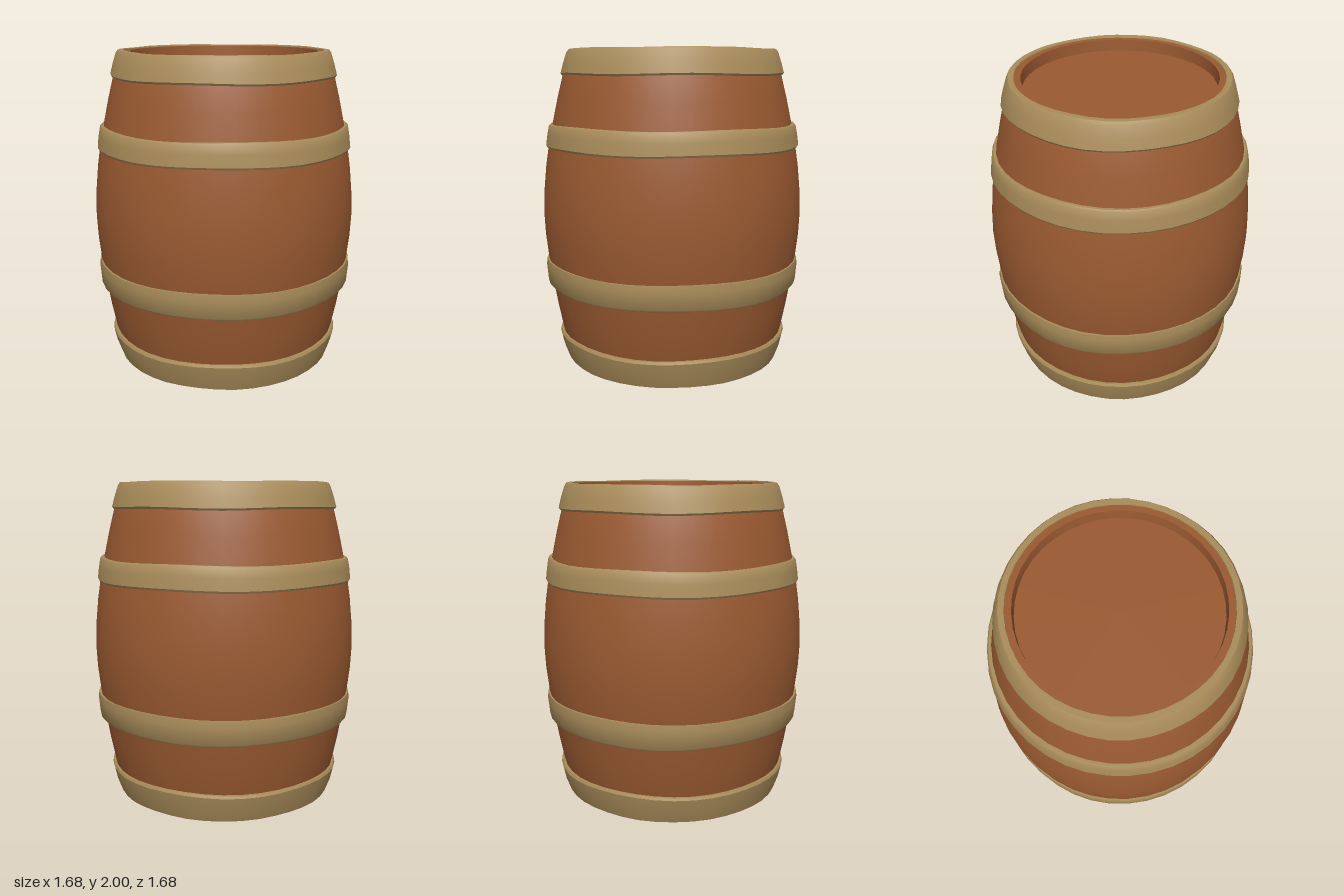
import * as THREE from 'three';
import { toCreasedNormals } from 'three/addons/utils/BufferGeometryUtils.js';

const SEGMENTS = 40;

// Lathe a closed profile of [radius, height], then roughen it slightly by hand-hewn waves.
function turned(profile, wobble = 0, seed = 0, drop = 0) {
  const geo = new THREE.LatheGeometry(profile.map(([r, y]) => new THREE.Vector2(r, y)), SEGMENTS);
  const pos = geo.attributes.position;
  for (let i = 0; i < pos.count; i++) {
    const x = pos.getX(i), y = pos.getY(i), z = pos.getZ(i);
    const a = Math.atan2(z, x);
    const wave = Math.sin(3 * a + seed) + 0.6 * Math.sin(7 * a + seed * 2.3 + y * 9);
    const k = 1 + wobble * wave;
    const shift = drop * Math.sin(5 * a + seed * 1.7 + y * 5);
    pos.setXYZ(i, x * k, THREE.MathUtils.clamp(y + shift, 0, 2), z * k);
  }
  return toCreasedNormals(geo, 0.6);
}

export function createModel() {
  const barrel = new THREE.Group();
  barrel.name = 'barrel';
  const wood = new THREE.MeshStandardMaterial({ name: 'brown wood', color: 0x9a5a31 });
  const brass = new THREE.MeshStandardMaterial({ name: 'dull brass', color: 0xa98c5a });

  const add = (name, geometry, material) => {
    const mesh = new THREE.Mesh(geometry, material);
    mesh.name = name;
    barrel.add(mesh);
  };

  // Bulging body with a recessed lid and a recessed bottom
  add('body', turned([
    [0, 0.06], [0.62, 0.06], [0.64, 0.003], [0.68, 0.003],
    [0.735, 0.2], [0.765, 0.35], [0.79, 0.5], [0.815, 0.66], [0.833, 0.82],
    [0.84, 0.97], [0.833, 1.12], [0.818, 1.27], [0.798, 1.4], [0.77, 1.54],
    [0.735, 1.7], [0.7, 1.84], [0.64, 1.992],
    [0.59, 1.992], [0.585, 1.92], [0, 1.92],
  ]), wood);

  // Hoops: outer profile from lower edge to upper edge, closed inside the body
  const hoops = [
    ['bottomHoop', [[0.66, 0], [0.703, 0], [0.735, 0.09], [0.752, 0.165], [0.745, 0.18], [0.69, 0.18]]],
    ['lowerHoop', [[0.74, 0.505], [0.812, 0.503], [0.821, 0.515], [0.831, 0.62], [0.826, 0.663], [0.77, 0.663]]],
    ['upperHoop', [[0.74, 1.39], [0.808, 1.388], [0.815, 1.4], [0.806, 1.47], [0.796, 1.525], [0.788, 1.535], [0.72, 1.535]]],
    ['topHoop', [[0.65, 1.845], [0.708, 1.838], [0.716, 1.85], [0.7, 1.91], [0.677, 1.98], [0.664, 2], [0.63, 2], [0.62, 1.95]]],
  ];
  hoops.forEach(([name, profile], i) => {
    add(name, turned(profile, 0.0025, i * 1.9 + 0.4, 0.004), brass);
  });

  return barrel;
}
